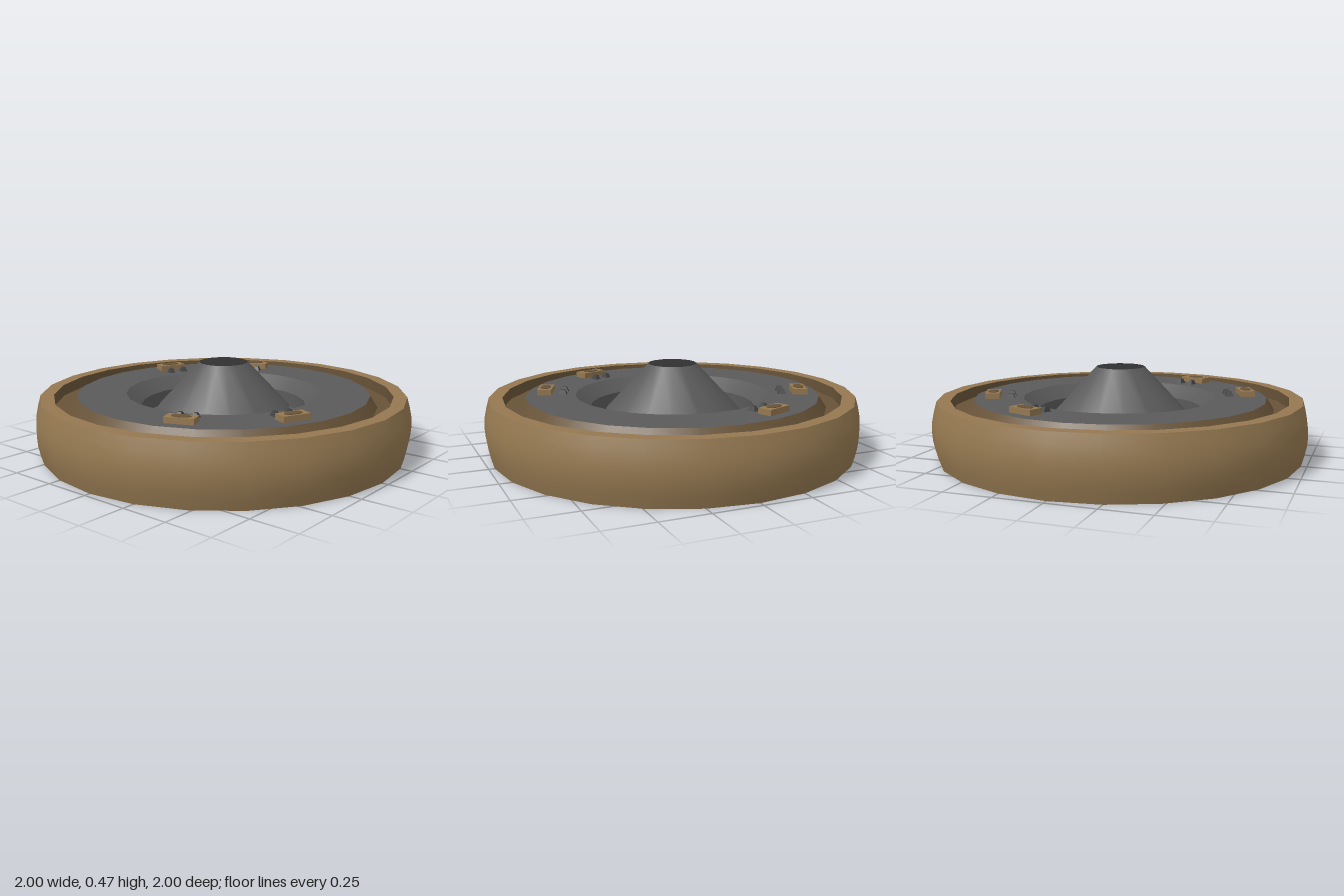
import * as THREE from 'three';

const mat = (name, color) => {
  const m = new THREE.MeshStandardMaterial({ color, side: THREE.DoubleSide });
  m.name = name;
  return m;
};

export function createModel() {
  const root = new THREE.Group();
  const brown = mat('bronze brown', 0x947850);
  const darkBrown = mat('dark brown', 0x685338);
  const grey = mat('grey', 0x5a5a5a);
  const darkGrey = mat('dark grey', 0x444444);

  const add = (parent, name, geometry, material, x = 0, y = 0, z = 0) => {
    const mesh = new THREE.Mesh(geometry, material);
    mesh.name = name;
    mesh.position.set(x, y, z);
    parent.add(mesh);
    return mesh;
  };
  // Smooth band of revolution; profiles run from the outer foot inwards
  const band = (name, profile, material, sides = 24) =>
    add(root, name, new THREE.LatheGeometry(profile.map(p => new THREE.Vector2(...p)), sides), material);

  // Bulging outer wall, open below, with a flat top rim
  const wall = [];
  for (let i = 0; i <= 6; i++) wall.push([0.97 + 0.03 * Math.sin(Math.PI * i / 6), 0.31 * i / 6]);
  band('outerWall', wall, brown);
  band('topRim', [[0.97, 0.31], [0.9, 0.31]], brown);

  // Channel between rim and deck
  band('channelOuterWall', [[0.9, 0.31], [0.9, 0.25]], darkBrown);
  band('channelFloor', [[0.9, 0.25], [0.82, 0.25]], darkBrown);
  band('channelInnerSlope', [[0.82, 0.25], [0.78, 0.31]], darkBrown);

  // Deck with a recessed bowl
  band('deck', [[0.78, 0.31], [0.52, 0.31]], grey);
  band('bowlSlope', [[0.52, 0.31], [0.44, 0.245]], grey);
  band('bowlWall', [[0.44, 0.245], [0.44, 0.167]], grey);
  band('bowlFloor', [[0.44, 0.167], [0, 0.167]], grey);

  // Central hollow cone, open at the top
  band('coneBase', [[0.36, 0.167], [0.36, 0.225]], grey, 16);
  band('cone', [[0.36, 0.225], [0.13, 0.47]], grey, 16);

  // Small square-based peg with sloping sides
  const pegGeometry = new THREE.CylinderGeometry(0.35, Math.SQRT1_2, 1, 4, 1).toNonIndexed();
  pegGeometry.rotateY(Math.PI / 4);
  pegGeometry.scale(0.045, 0.025, 0.034);
  pegGeometry.computeVertexNormals();

  // Four clamps: block, inset and two pegs, with local x pointing outwards
  for (const degrees of [22.5, 67.5, 202.5, 247.5]) {
    const clamp = new THREE.Group();
    clamp.name = 'clamp';
    clamp.rotation.y = -THREE.MathUtils.degToRad(degrees);
    root.add(clamp);
    add(clamp, 'clampBlock', new THREE.BoxGeometry(0.075, 0.03, 0.15), brown, 0.68, 0.325, 0);
    const inset = add(clamp, 'clampInset', new THREE.CylinderGeometry(0.5, 0.5, 0.004, 10), darkBrown, 0.68, 0.341, 0);
    inset.scale.set(0.055, 1, 0.1);
    for (const side of [-1, 1]) add(clamp, 'peg', pegGeometry, darkGrey, 0.585, 0.3225, side * 0.039);
  }
  return root;
}
